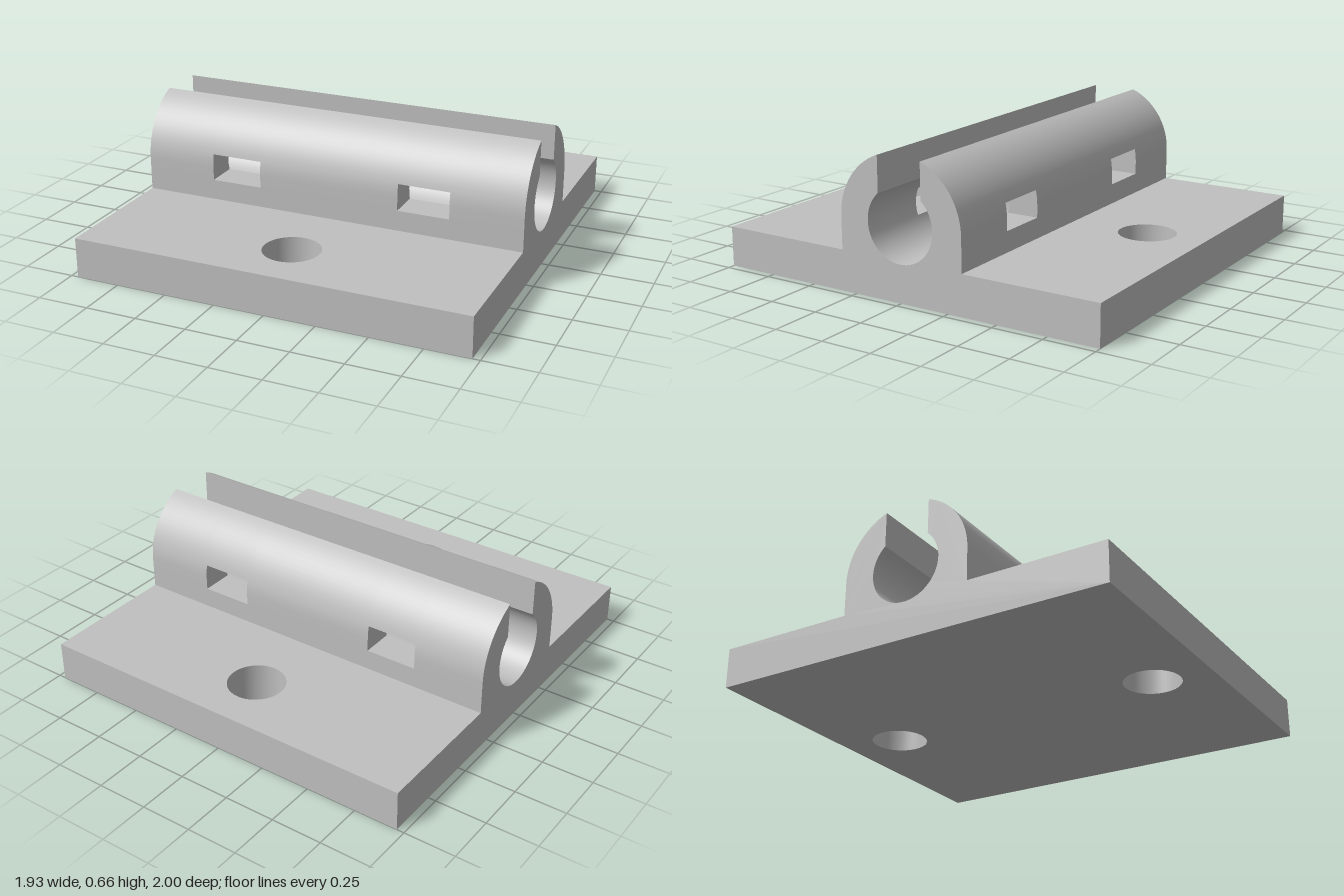
import * as THREE from 'three';
import { mergeGeometries, toCreasedNormals } from 'three/addons/utils/BufferGeometryUtils.js';

const HALF_X = 0.965, HALF_Z = 1, PLATE = 0.195;
const AXIS_Y = 0.355, OUTER = 0.325, BORE = 0.175, SLOT = 0.115;
const WIN_LOW = 0.295, WIN_HIGH = 0.425;              // window heights
const WINDOWS = [[-0.61, -0.355], [0.355, 0.61]];     // window spans along x
const HOLE_R = 0.137, HOLE_Z = 0.71, HOLE_SIDES = 48;

// Points on a circle round the bore axis, passing exactly through each key angle
function arc(radius, keys) {
  const points = [];
  keys.forEach((a, i) => {
    const next = keys[i + 1];
    const n = next === undefined ? 1 : Math.max(1, Math.ceil(Math.abs(next - a) / 0.09));
    for (let k = 0; k < n; k++) {
      const t = n === 1 ? a : a + (next - a) * k / n;
      points.push(new THREE.Vector2(radius * Math.cos(t), AXIS_Y + radius * Math.sin(t)));
    }
  });
  return points;
}

// Cross-section (z, y): +z half, then its mirror image
function makeProfile() {
  const up = WIN_HIGH - AXIS_Y, down = WIN_LOW - AXIS_Y;
  const half = [
    new THREE.Vector2(HALF_Z, 0),
    new THREE.Vector2(HALF_Z, PLATE),
    new THREE.Vector2(OUTER, PLATE),
    new THREE.Vector2(OUTER, WIN_LOW),
    ...arc(OUTER, [0, Math.asin(up / OUTER), Math.acos(SLOT / OUTER)]),
    ...arc(BORE, [Math.acos(SLOT / BORE), Math.asin(up / BORE), Math.asin(down / BORE), -Math.PI / 2]),
  ];
  const mirrored = half.slice(0, -1).reverse().map(p => new THREE.Vector2(-p.x, p.y));
  return [...half, ...mirrored];
}

// Rectangular strip between two profile points, from x0 to x1
function strip(a, b, x0, x1) {
  const g = new THREE.BufferGeometry();
  g.setAttribute('position', new THREE.Float32BufferAttribute([
    x0, a.y, a.x, x1, a.y, a.x, x1, b.y, b.x,
    x0, a.y, a.x, x1, b.y, b.x, x0, b.y, b.x,
  ], 3));
  return g;
}

// Flat face across x, looking towards +x or -x
function endFace(points, x, direction) {
  return new THREE.ShapeGeometry(new THREE.Shape(points))
    .rotateY(direction * Math.PI / 2).translate(x, 0, 0);
}

// Horizontal panel with round holes, looking up (1) or down (-1)
function panel(z0, z1, y, direction, holes) {
  const v = z => -direction * z;
  const shape = new THREE.Shape([[-HALF_X, z0], [HALF_X, z0], [HALF_X, z1], [-HALF_X, z1]]
    .map(([x, z]) => new THREE.Vector2(x, v(z))));
  for (const z of holes) {
    shape.holes.push(new THREE.Path().absarc(0, v(z), HOLE_R, 0, Math.PI * 2, true));
  }
  return new THREE.ShapeGeometry(shape, HOLE_SIDES)
    .rotateX(-direction * Math.PI / 2).translate(0, y, 0);
}

export function createModel() {
  const grey = new THREE.MeshStandardMaterial({ color: 0xc0c0c0 });
  grey.name = 'lightGrey';

  const profile = makeProfile();
  const parts = [];
  const inBand = p => p.y > WIN_LOW - 1e-4 && p.y < WIN_HIGH + 1e-4;
  const stops = [-HALF_X, ...WINDOWS.flat(), HALF_X];

  // Long walls of plate and clip, left open where the windows are
  profile.forEach((a, i) => {
    const b = profile[(i + 1) % profile.length];
    const isPanel = a.y === b.y && Math.max(Math.abs(a.x), Math.abs(b.x)) === HALF_Z;
    if (isPanel) return;
    for (let s = 0; s < stops.length - 1; s++) {
      const isWindow = s % 2 === 1 && inBand(a) && inBand(b);
      if (!isWindow) parts.push(strip(a, b, stops[s], stops[s + 1]));
    }
  });

  // Ends
  parts.push(endFace(profile, HALF_X, 1), endFace(profile, -HALF_X, -1));

  // Window sills, heads and jambs
  for (const side of [1, -1]) {
    const wall = profile.filter(p => p.x * side > 0 && inBand(p));
    for (const [x0, x1] of WINDOWS) {
      parts.push(endFace(wall, x0, 1), endFace(wall.map(p => new THREE.Vector2(-p.x, p.y)).reverse(), x0, 1));
      parts.push(endFace(wall, x1, -1), endFace(wall.map(p => new THREE.Vector2(-p.x, p.y)).reverse(), x1, -1));
      wall.forEach((a, i) => {
        const b = wall[(i + 1) % wall.length];
        if (Math.abs(a.y - b.y) < 1e-4) parts.push(strip(b, a, x0, x1));
      });
    }
  }

  // Plate faces and screw holes
  parts.push(panel(-HALF_Z, HALF_Z, 0, -1, [-HOLE_Z, HOLE_Z]));
  parts.push(panel(OUTER, HALF_Z, PLATE, 1, [HOLE_Z]));
  parts.push(panel(-HALF_Z, -OUTER, PLATE, 1, [-HOLE_Z]));
  for (const z of [-HOLE_Z, HOLE_Z]) {
    parts.push(new THREE.CylinderGeometry(HOLE_R, HOLE_R, PLATE, HOLE_SIDES, 1, true)
      .scale(1, -1, 1).translate(0, PLATE / 2, z));
  }

  // Join into one solid with sharp edges and smooth curves
  const plain = parts.map(g => {
    const out = g.index ? g.toNonIndexed() : g;
    out.deleteAttribute('normal');
    out.deleteAttribute('uv');
    return out;
  });
  const body = new THREE.Mesh(toCreasedNormals(mergeGeometries(plain), 0.35), grey);
  body.name = 'mountingPlateWithClip';

  const group = new THREE.Group();
  group.name = 'pipeClipBracket';
  group.add(body);
  return group;
}
